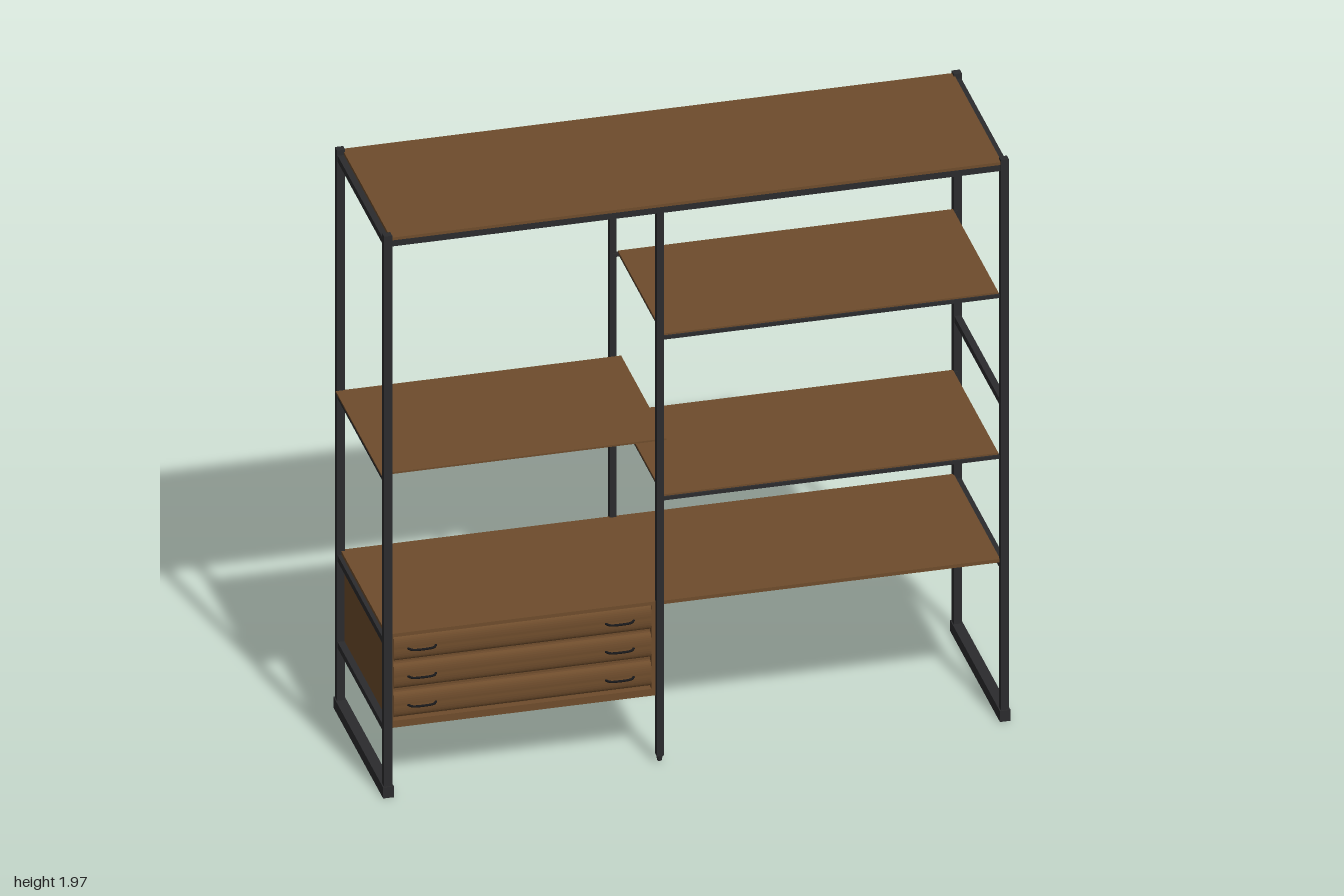
import * as THREE from 'three';

const wood = new THREE.MeshStandardMaterial({ color: 0x6e4c2c });
wood.name = 'brown wood';
const metal = new THREE.MeshStandardMaterial({ color: 0x2b2b2d });
metal.name = 'dark metal';
const black = new THREE.MeshStandardMaterial({ color: 0x18181a });
black.name = 'black handle';

export function createModel() {
  const model = new THREE.Group();
  model.name = 'shelvingUnit';
  const END = 0.983, MID = -0.115, PZ = 0.288;

  // Box given by its minimum and maximum on each axis
  function box(name, mat, [x0, x1], [y0, y1], [z0, z1], parent = model) {
    const mesh = new THREE.Mesh(new THREE.BoxGeometry(x1 - x0, y1 - y0, z1 - z0), mat);
    mesh.position.set((x0 + x1) / 2, (y0 + y1) / 2, (z0 + z1) / 2);
    mesh.name = name;
    parent.add(mesh);
    return mesh;
  }
  const span = (c, w) => [c - w / 2, c + w / 2];

  // End frames: posts, floor rails and cross rails
  for (const x of [-END, END]) {
    for (const z of [-PZ, PZ]) box('endPost', metal, span(x, 0.026), [0.03, 1.968], span(z, 0.025));
    box('floorRail', metal, span(x, 0.034), [0, 0.038], [-0.305, 0.305]);
    for (const y of [0.537, 1.108, 1.939]) box('endRail', metal, span(x, 0.022), span(y, 0.022), [-PZ, PZ]);
  }

  // Middle frame with round feet
  for (const z of [-PZ, PZ]) {
    box('middlePost', metal, span(MID, 0.022), [0.025, 1.945], span(z, 0.022));
    const foot = new THREE.Mesh(new THREE.CylinderGeometry(0.011, 0.007, 0.02, 16), metal);
    foot.position.set(MID, 0.016, z);
    foot.name = 'middleFoot';
    model.add(foot);
  }
  for (const y of [0.233, 0.537, 1.939]) box('middleRail', metal, span(MID, 0.018), span(y, 0.02), [-PZ, PZ]);

  // Top board on its long rails
  for (const z of [-PZ, PZ]) box('topRail', metal, [-END, END], [1.929, 1.95], span(z, 0.02));
  box('topBoard', wood, [-0.974, 0.974], [1.949, 1.96], [-0.298, 0.298]);

  // Right-hand shelves carried on slatted metal frames
  for (const y of [1.482, 0.918]) {
    box('slattedShelf', wood, [-0.1, 0.968], [y + 0.004, y + 0.012], [-0.278, 0.278]);
    for (const z of [-0.278, 0.278]) box('shelfRail', metal, [MID, END], span(y, 0.012), span(z, 0.012));
    for (let i = 0; i < 9; i++) {
      box('shelfSlat', metal, span(-0.09 + i * 0.131, 0.014), span(y, 0.011), [-0.275, 0.275]);
    }
  }

  // Plain shelves
  box('lowShelf', wood, [-0.118, 0.972], [0.549, 0.561], [-0.285, 0.285]);
  box('thinShelf', wood, [-1, -0.09], [1.119, 1.125], [-0.277, 0.277]);

  // Drawer cabinet
  const cabinet = new THREE.Group();
  cabinet.name = 'drawerCabinet';
  model.add(cabinet);
  const L = -0.972, R = -0.126;
  box('cabinetTop', wood, [L - 0.01, R + 0.008], [0.549, 0.561], [-0.285, 0.283], cabinet);
  box('cabinetFloor', wood, [L, R], [0.24, 0.254], [-0.28, 0.272], cabinet);
  box('cabinetBack', wood, [L, R], [0.24, 0.55], [-0.28, -0.27], cabinet);
  box('cabinetSide', wood, [L, L + 0.012], [0.24, 0.55], [-0.275, 0.28], cabinet);
  box('cabinetSide', wood, [R - 0.012, R], [0.24, 0.55], [-0.275, 0.28], cabinet);
  box('cabinetPlinth', wood, [L, R], [0.23, 0.254], [0.262, 0.28], cabinet);
  box('cabinetEndRail', metal, span(-END, 0.022), span(0.233, 0.022), [-PZ, PZ], cabinet);
  box('cabinetFloorRail', metal, [-END, MID], [0.224, 0.24], span(-0.03, 0.05), cabinet);
  box('cabinetBackRail', metal, [-END, MID], [0.225, 0.24], span(-0.27, 0.016), cabinet);
  box('drawerCavity', wood, [L + 0.01, R - 0.01], [0.25, 0.55], [0.25, 0.258], cabinet);

  // Drawer front: a gently bowed profile in (depth, height) run along x
  const profile = new THREE.Shape();
  profile.moveTo(0, -0.043);
  profile.lineTo(0.012, -0.043);
  profile.quadraticCurveTo(0.027, -0.036, 0.025, 0);
  profile.quadraticCurveTo(0.027, 0.036, 0.012, 0.043);
  profile.lineTo(0, 0.043);
  const width = R - L - 0.026;
  const frontGeo = new THREE.ExtrudeGeometry(profile, { depth: width, bevelEnabled: false, curveSegments: 8 });
  frontGeo.rotateY(-Math.PI / 2);

  // Handle: a small bowed bar
  const bow = new THREE.CatmullRomCurve3([[-0.045, 0], [-0.034, 0.014], [0, 0.018], [0.034, 0.014], [0.045, 0]]
    .map(([x, z]) => new THREE.Vector3(x, 0, z)));
  const handleGeo = new THREE.TubeGeometry(bow, 16, 0.0038, 8, false);

  for (const y of [0.305, 0.405, 0.503]) {
    const front = new THREE.Mesh(frontGeo, wood);
    // The turned extrusion runs toward -x with its depth facing +z
    front.position.set(R - 0.013, y, 0.257);
    front.name = 'drawerFront';
    frontGeo.computeBoundingBox();
    const b = frontGeo.boundingBox;
    front.position.x = (L + R) / 2 - (b.min.x + b.max.x) / 2;
    front.position.z = 0.257 - b.min.z;
    cabinet.add(front);
    for (const x of [-0.87, -0.24]) {
      const handle = new THREE.Mesh(handleGeo, black);
      handle.position.set(x, y, 0.281);
      handle.name = 'drawerHandle';
      cabinet.add(handle);
    }
  }
  return model;
}
